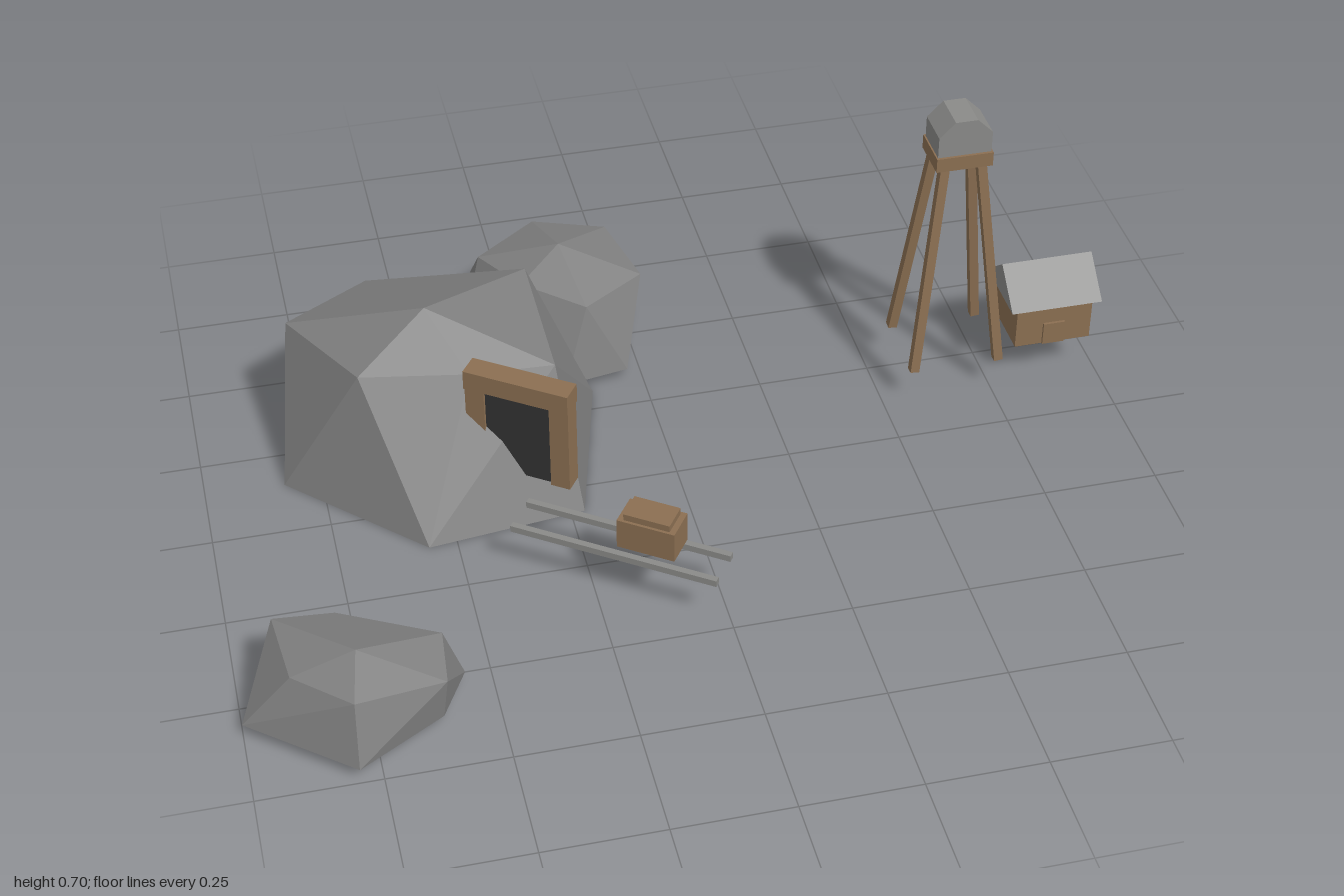
import * as THREE from 'three';
import { ConvexGeometry } from 'three/addons/geometries/ConvexGeometry.js';

const mat = (name, color) => {
  const m = new THREE.MeshStandardMaterial({ color });
  m.name = name;
  return m;
};

export function createModel() {
  const rock = mat('rock grey', 0x808080);
  const wood = mat('wood brown', 0x8b6f52);
  const metal = mat('metal grey', 0x8a8a88);
  const dark = mat('tunnel dark', 0x333333);
  const model = new THREE.Group();
  model.name = 'mine';

  const add = (parent, name, geometry, material, x = 0, y = 0, z = 0) => {
    const mesh = new THREE.Mesh(geometry, material);
    mesh.name = name;
    mesh.position.set(x, y, z);
    parent.add(mesh);
    return mesh;
  };
  const box = (parent, name, material, [w, h, d], [x, y, z]) =>
    add(parent, name, new THREE.BoxGeometry(w, h, d), material, x, y, z);
  const group = (name, x, z, angle = 0) => {
    const g = new THREE.Group();
    g.name = name;
    g.position.set(x, 0, z);
    g.rotation.y = angle;
    model.add(g);
    return g;
  };

  // Faceted boulders: flat foot ring [x, z] plus upper corners [x, y, z]
  const boulder = (name, footY, foot, upper) => add(model, name, new ConvexGeometry([
    ...foot.map(([x, z]) => new THREE.Vector3(x, footY, z)),
    ...upper.map(p => new THREE.Vector3(...p)),
  ]), rock);

  boulder('mainBoulder', 0,
    [[-0.83, -0.15], [-0.56, 0.12], [-0.22, 0.08], [-0.12, -0.31], [-0.36, -0.5], [-0.45, -0.56], [-0.79, -0.43]],
    [[-0.5, 0.39, -0.19], [-0.59, 0.27, -0.475], [-0.25, 0.31, -0.385], [-0.25, 0.3, -0.05],
      [-0.43, 0.3, -0.06], [-0.66, 0.31, -0.09], [-0.78, 0.28, -0.35]]);
  boulder('backBoulder', 0.03,
    [[-0.355, -0.7], [-0.12, -0.75], [0.035, -0.575], [-0.035, -0.335], [-0.18, -0.31], [-0.38, -0.52]],
    [[-0.15, 0.265, -0.52], [-0.18, 0.22, -0.68], [-0.32, 0.2, -0.6], [-0.02, 0.21, -0.635],
      [0.02, 0.21, -0.44], [-0.25, 0.22, -0.45], [-0.12, 0.2, -0.36]]);
  boulder('frontBoulder', 0.03,
    [[-1, 0.575], [-0.9, 0.44], [-0.7, 0.365], [-0.555, 0.53], [-0.615, 0.64], [-0.795, 0.745]],
    [[-0.77, 0.195, 0.59], [-0.915, 0.155, 0.425], [-0.79, 0.14, 0.42], [-0.595, 0.145, 0.53],
      [-0.605, 0.13, 0.65], [-0.79, 0.16, 0.7], [-0.9, 0.15, 0.59]]);

  // Timber tunnel entrance
  const slant = -0.61;
  const entrance = group('tunnelEntrance', -0.34, 0.03, slant);
  for (const s of [-1, 1]) box(entrance, 'entrancePost', wood, [0.043, 0.21, 0.043], [s * 0.095, 0.2, 0]);
  box(entrance, 'entranceBeam', wood, [0.235, 0.045, 0.05], [0, 0.322, 0]);
  box(entrance, 'tunnelOpening', dark, [0.165, 0.205, 0.035], [0, 0.2, -0.002]);

  // Rails and ore cart
  const track = group('track', -0.192, 0.317, slant);
  for (const s of [-1, 1]) box(track, 'rail', metal, [0.452, 0.015, 0.014], [0, 0.113, s * 0.04]);
  const cart = group('oreCart', -0.137, 0.362, slant);
  box(cart, 'cartBody', wood, [0.125, 0.07, 0.072], [0, 0.173, 0]);
  box(cart, 'cartLoad', wood, [0.1, 0.016, 0.06], [0, 0.215, 0]);

  // Water tower: splayed legs, platform and eight-sided tank lying along z
  const tower = group('waterTower', 0.664, -0.208);
  const up = new THREE.Vector3(0, 1, 0);
  for (const sx of [-1, 1]) for (const sz of [-1, 1]) {
    const foot = new THREE.Vector3(sx * 0.097, 0.08, sz * 0.085);
    const dir = new THREE.Vector3(sx * 0.04, 0.59, sz * 0.034).sub(foot);
    const leg = box(tower, 'towerLeg', wood, [0.02, dir.length(), 0.02],
      foot.clone().addScaledVector(dir, 0.5).toArray());
    leg.quaternion.setFromUnitVectors(up, dir.normalize());
  }
  box(tower, 'towerPlatform', wood, [0.125, 0.033, 0.1], [0, 0.596, 0]);
  const tankGeometry = new THREE.CylinderGeometry(0.064, 0.064, 0.088, 8).toNonIndexed();
  tankGeometry.rotateY(Math.PI / 8).rotateX(Math.PI / 2).computeVertexNormals();
  add(tower, 'towerTank', tankGeometry, metal, 0, 0.637, 0);

  // Shack with a ridge roof and a thin door
  const shack = group('shack', 0.893, -0.212);
  box(shack, 'shackWalls', wood, [0.174, 0.105, 0.15], [0, 0.145, 0]);
  const gable = new THREE.Shape([[-0.088, 0], [0.088, 0], [0, 0.075]].map(p => new THREE.Vector2(...p)));
  const roof = new THREE.ExtrudeGeometry(gable, { depth: 0.208, bevelEnabled: false });
  roof.translate(0, 0, -0.104).rotateY(Math.PI / 2);
  add(shack, 'shackRoof', roof, metal, 0, 0.195, 0);
  box(shack, 'shackDoor', wood, [0.05, 0.054, 0.008], [0, 0.121, 0.077]);

  return model;
}
